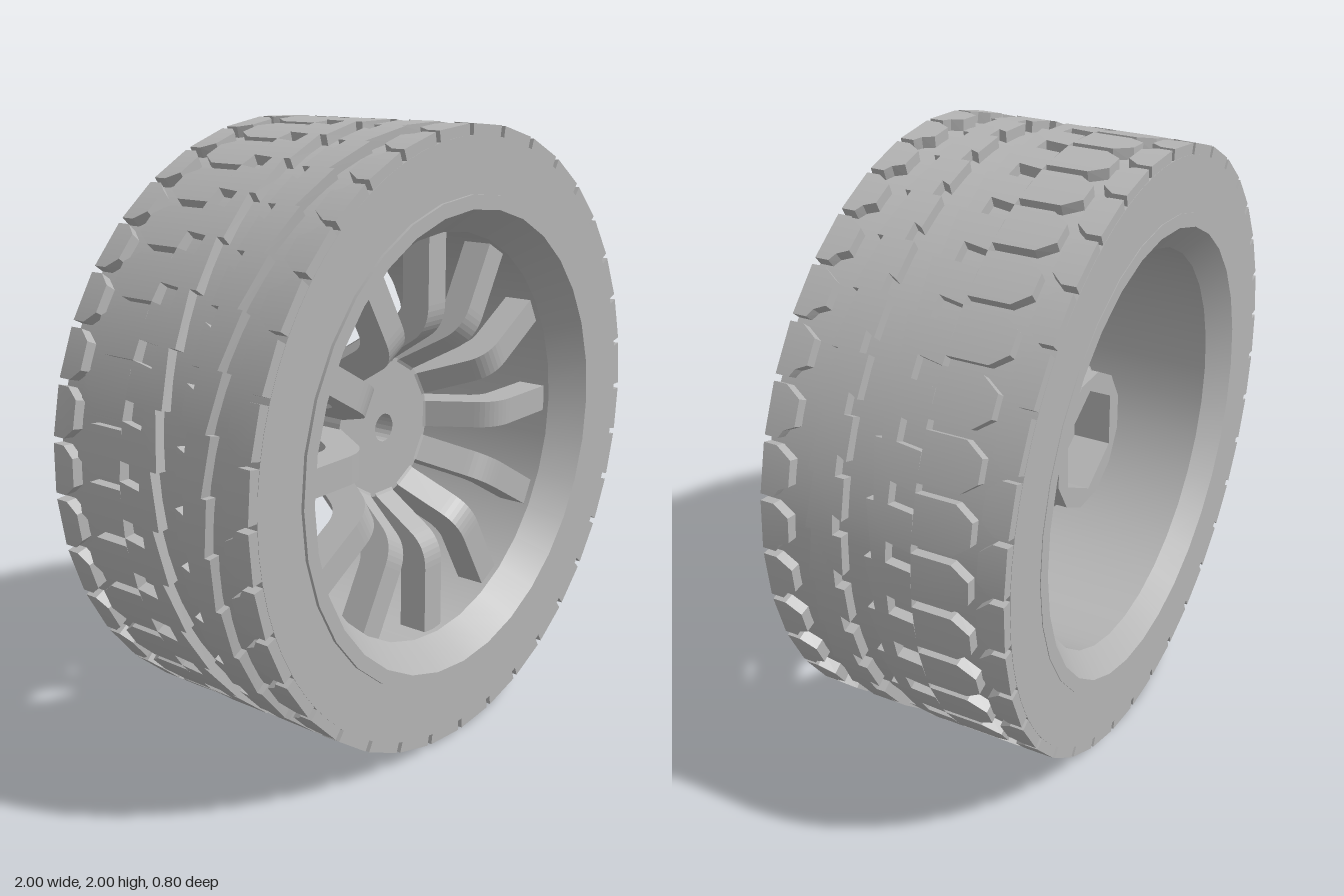
import * as THREE from 'three';
import { mergeGeometries } from 'three/addons/utils/BufferGeometryUtils.js';

const TREAD_COUNT = 36;
const PITCH = (Math.PI * 2) / TREAD_COUNT;
const SPOKES = 12;

// Closed ring around the z axis from [radius, z] corners, every corner kept sharp
function ring(profile, segments) {
  const bands = profile.map((p, i) => {
    const q = profile[(i + 1) % profile.length];
    return new THREE.LatheGeometry([new THREE.Vector2(...p), new THREE.Vector2(...q)], segments);
  });
  return mergeGeometries(bands).rotateX(Math.PI / 2);
}

// Raised tread block: outline of [fraction of pitch, z], wrapped on the tyre and repeated
function treadRow(outline, shift = 0) {
  const shape = new THREE.Shape(outline.map(([u, z]) => new THREE.Vector2(-(u + shift) * PITCH, z)));
  const block = new THREE.ExtrudeGeometry(shape, { depth: 0.045, bevelEnabled: false });
  const pos = block.attributes.position;
  const isTop = [];
  for (let i = 0; i < pos.count; i++) {
    isTop.push(block.attributes.normal.getZ(i) > 0.5);
    const a = -pos.getX(i), r = 0.955 + pos.getZ(i);
    pos.setXYZ(i, r * Math.sin(a), r * Math.cos(a), pos.getY(i));
  }
  block.computeVertexNormals();
  // smooth running surface
  for (let i = 0; i < pos.count; i++) {
    if (!isTop[i]) continue;
    const r = Math.hypot(pos.getX(i), pos.getY(i));
    block.attributes.normal.setXYZ(i, pos.getX(i) / r, pos.getY(i) / r, 0);
  }
  const blocks = [];
  for (let i = 0; i < TREAD_COUNT; i++) blocks.push(block.clone().rotateZ(i * PITCH));
  return mergeGeometries(blocks);
}

// Flat-sided extrusion with a polygonal or round hole
function collar(radius, sides, holeRadius, holeSides, z0, z1) {
  const points = (r, n) => Array.from({ length: n }, (_, i) => {
    const a = ((i + 0.5) / n) * Math.PI * 2;
    return new THREE.Vector2(r * Math.cos(a), r * Math.sin(a));
  });
  const shape = new THREE.Shape(points(radius, sides));
  shape.holes.push(new THREE.Path(points(holeRadius, holeSides)));
  return new THREE.ExtrudeGeometry(shape, { depth: z1 - z0, bevelEnabled: false }).translate(0, 0, z0);
}

export function createModel() {
  const grey = new THREE.MeshStandardMaterial({ color: 0xb4b4b4 });
  grey.name = 'plain grey';
  const model = new THREE.Group();
  model.name = 'wheel';
  const wheel = new THREE.Group();
  wheel.name = 'tyreAndRim';
  wheel.position.y = 1;
  model.add(wheel);
  const add = (name, geometry) => {
    const mesh = new THREE.Mesh(geometry, grey);
    mesh.name = name;
    wheel.add(mesh);
  };

  // Tyre body
  add('tyre', ring([[0.965, -0.4], [0.965, 0.39], [0.78, 0.39], [0.78, -0.4]], 72));

  // Tread rows, front to back
  add('frontShoulderTread', treadRow([
    [0.06, 0.389], [0.06, 0.345], [0.25, 0.295], [0.7, 0.295], [0.8, 0.33], [0.94, 0.345], [0.94, 0.389],
  ]));
  add('frontRibTread', treadRow([
    [0, 0.115], [0.72, 0.115], [0.64, 0.145], [1, 0.145], [1, 0.235], [0, 0.215],
  ], 0.3));
  add('middleRibTread', treadRow([
    [0, -0.03], [0.05, -0.11], [0.7, -0.11], [0.62, -0.03], [1, -0.03], [1, 0.015], [0, 0.04],
  ], 0.5));
  add('rearBlockTread', treadRow([
    [0.1, -0.11], [0.1, -0.235], [0.32, -0.29], [0.72, -0.29], [0.94, -0.24], [0.94, -0.11],
  ], 0.1));
  add('rearShoulderTread', treadRow([
    [0.06, -0.399], [0.94, -0.399], [0.94, -0.355], [0.75, -0.315], [0.25, -0.315], [0.06, -0.355],
  ], 0.6));

  // Rim barrel with flared lips
  add('rim', ring([
    [0.79, -0.402], [0.79, 0.4], [0.745, 0.4], [0.668, 0.29], [0.668, -0.33], [0.745, -0.402],
  ], 32));

  // Hub: bored face plate and hexagonal socket behind it
  add('hubFace', collar(0.235, 36, 0.047, 20, -0.05, 0.06));
  add('hubSocket', collar(0.235, 12, 0.185, 6, -0.18, -0.05));

  // Cranked spokes
  const side = new THREE.Shape();
  side.moveTo(0.2, 0.05);
  side.lineTo(0.228, 0.065);
  side.lineTo(0.32, 0.205);
  side.quadraticCurveTo(0.36, 0.27, 0.44, 0.27);
  side.lineTo(0.69, 0.27);
  side.lineTo(0.69, 0.17);
  side.lineTo(0.46, 0.17);
  side.quadraticCurveTo(0.41, 0.17, 0.38, 0.12);
  side.lineTo(0.25, -0.09);
  side.lineTo(0.2, -0.13);
  const spoke = new THREE.ExtrudeGeometry(side, { depth: 0.09, bevelEnabled: false, curveSegments: 8 })
    .translate(0, 0, -0.045).rotateX(Math.PI / 2);
  for (let i = 0; i < SPOKES; i++) {
    add('spoke', spoke.clone().rotateZ((i / SPOKES) * Math.PI * 2));
  }
  return model;
}
